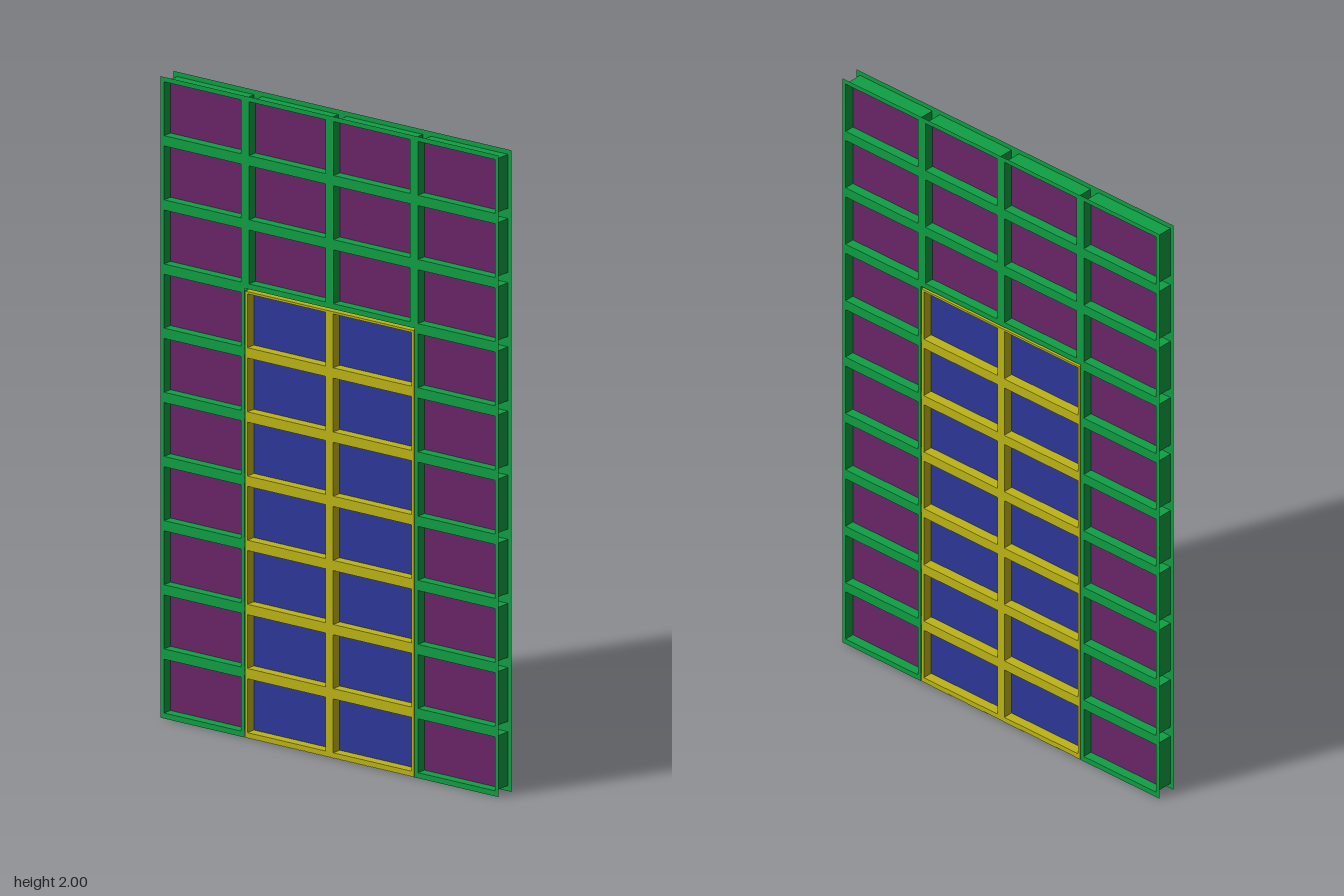
import * as THREE from 'three';
import { mergeGeometries } from 'three/addons/utils/BufferGeometryUtils.js';

const T = 0.032; // half thickness of the bars

const paint = (color) => new THREE.MeshStandardMaterial({ color, side: THREE.DoubleSide });

// Rectangles are [z0, y0, z1, y1] in the plane of the panel
function trace(path, [z0, y0, z1, y1]) {
  path.moveTo(-z0, y0);
  path.lineTo(-z1, y0);
  path.lineTo(-z1, y1);
  path.lineTo(-z0, y1);
  path.closePath();
  return path;
}

// Flat sheet with rectangular holes, facing +x or -x
function sheet(rect, holes, side) {
  const shape = trace(new THREE.Shape(), rect);
  holes.forEach((h) => shape.holes.push(trace(new THREE.Path(), h)));
  const g = new THREE.ShapeGeometry(shape);
  if (side < 0) g.rotateY(Math.PI);
  return g.rotateY(Math.PI / 2).translate(side * T, 0, 0);
}

// Four walls lining a rectangle through the thickness
function lining([z0, y0, z1, y1], inward = 1) {
  const w = z1 - z0, h = y1 - y0, zc = (z0 + z1) / 2, yc = (y0 + y1) / 2;
  const walls = [];
  for (const s of [-1, 1]) {
    const level = new THREE.PlaneGeometry(2 * T, w);
    level.rotateX(s * inward * Math.PI / 2).translate(0, yc + s * h / 2, zc);
    const upright = new THREE.PlaneGeometry(2 * T, h);
    if (s * inward > 0) upright.rotateY(Math.PI);
    upright.translate(0, yc, zc + s * w / 2);
    walls.push(level, upright);
  }
  return walls;
}

// Hollow lattice: two pierced sheets joined by the walls of each cell
function lattice(outer, cells, openings = []) {
  const holes = [...cells, ...openings];
  return [sheet(outer, holes, 1), sheet(outer, holes, -1), ...cells.flatMap((c) => lining(c))];
}

// Panes set at mid thickness
function panes(cells) {
  return cells.map(([z0, y0, z1, y1]) =>
    new THREE.PlaneGeometry(z1 - z0, y1 - y0).rotateY(Math.PI / 2)
      .translate(0, (y0 + y1) / 2, (z0 + z1) / 2));
}

function part(name, geometries, material) {
  const mesh = new THREE.Mesh(mergeGeometries(geometries), material);
  mesh.name = name;
  return mesh;
}

export function createModel() {
  const group = new THREE.Group();
  group.name = 'glazedWallWithDoor';

  // Cells of the wall and of the door in its lower middle
  const wallCells = [], doorCells = [];
  for (let row = 0; row < 10; row++) {
    const y0 = row * 0.2 + 0.017, y1 = row * 0.2 + 0.185;
    for (const s of [-1, 1]) {
      const cell = (a, b) => [Math.min(s * a, s * b), y0, Math.max(s * a, s * b), y1];
      wallCells.push(cell(0.332, 0.621));
      if (row < 7) doorCells.push(cell(0.014, 0.308));
      else wallCells.push(cell(0.015, 0.302));
    }
  }

  // Wall frame with the doorway notched out of its bottom edge
  const wall = [-0.634, 0, 0.634, 2];
  const frame = lattice(wall, wallCells, [[-0.319, 0.0005, 0.319, 1.4]]);
  group.add(part('wallFrame', frame, paint(0x0fa044)));
  group.add(part('wallPanes', panes(wallCells), paint(0x6b2568)));

  // Door frame, closed along its outer edges
  const door = [-0.317, 0.001, 0.317, 1.392];
  const doorFrame = [...lattice(door, doorCells), ...lining(door, -1)];
  group.add(part('doorFrame', doorFrame, paint(0xbdb514)));
  group.add(part('doorPanes', panes(doorCells), paint(0x2d379a)));

  return group;
}
